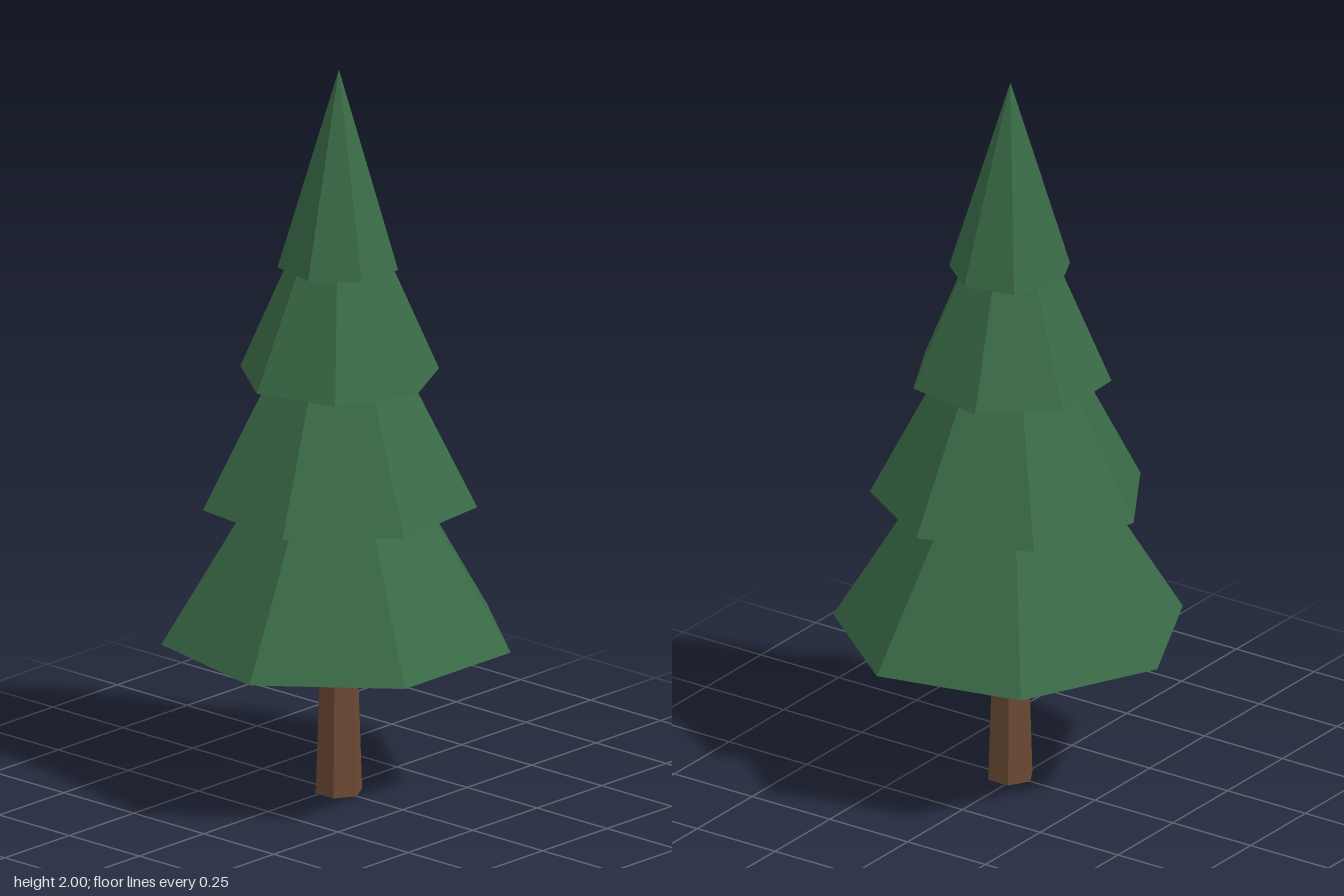
import * as THREE from 'three';

export function createModel() {
  const tree = new THREE.Group();
  tree.name = 'pineTree';

  const foliage = new THREE.MeshStandardMaterial({ color: 0x3a6b47, flatShading: true });
  foliage.name = 'needle green';
  const bark = new THREE.MeshStandardMaterial({ color: 0x6b4a33, flatShading: true });
  bark.name = 'bark brown';

  const axisX = 0.022; // the seven-sided tiers sit slightly off centre

  // Tapered hexagonal trunk, its top hidden inside the lowest tier
  const trunkHeight = 0.5;
  const trunk = new THREE.Mesh(
    new THREE.CylinderGeometry(0.047, 0.064, trunkHeight, 6, 1, false, Math.PI / 2),
    bark
  );
  trunk.name = 'trunk';
  trunk.position.set(axisX, trunkHeight / 2, 0);
  tree.add(trunk);

  // Overlapping foliage cones; angle is where one corner points, from +x towards +z
  const tiers = [
    { name: 'lowestTier', base: 0.43, apex: 1.21, radius: 0.472, angle: 180 },
    { name: 'lowerMiddleTier', base: 0.81, apex: 1.53, radius: 0.37, angle: 173.8 },
    { name: 'upperMiddleTier', base: 1.155, apex: 1.78, radius: 0.268, angle: -2 },
    { name: 'topTier', base: 1.46, apex: 2, radius: 0.163, angle: 180 },
  ];
  for (const { name, base, apex, radius, angle } of tiers) {
    const start = THREE.MathUtils.degToRad(90 - angle);
    const cone = new THREE.Mesh(
      new THREE.ConeGeometry(radius, apex - base, 7, 1, false, start),
      foliage
    );
    cone.name = name;
    cone.position.set(axisX, (base + apex) / 2, 0);
    tree.add(cone);
  }

  return tree;
}
